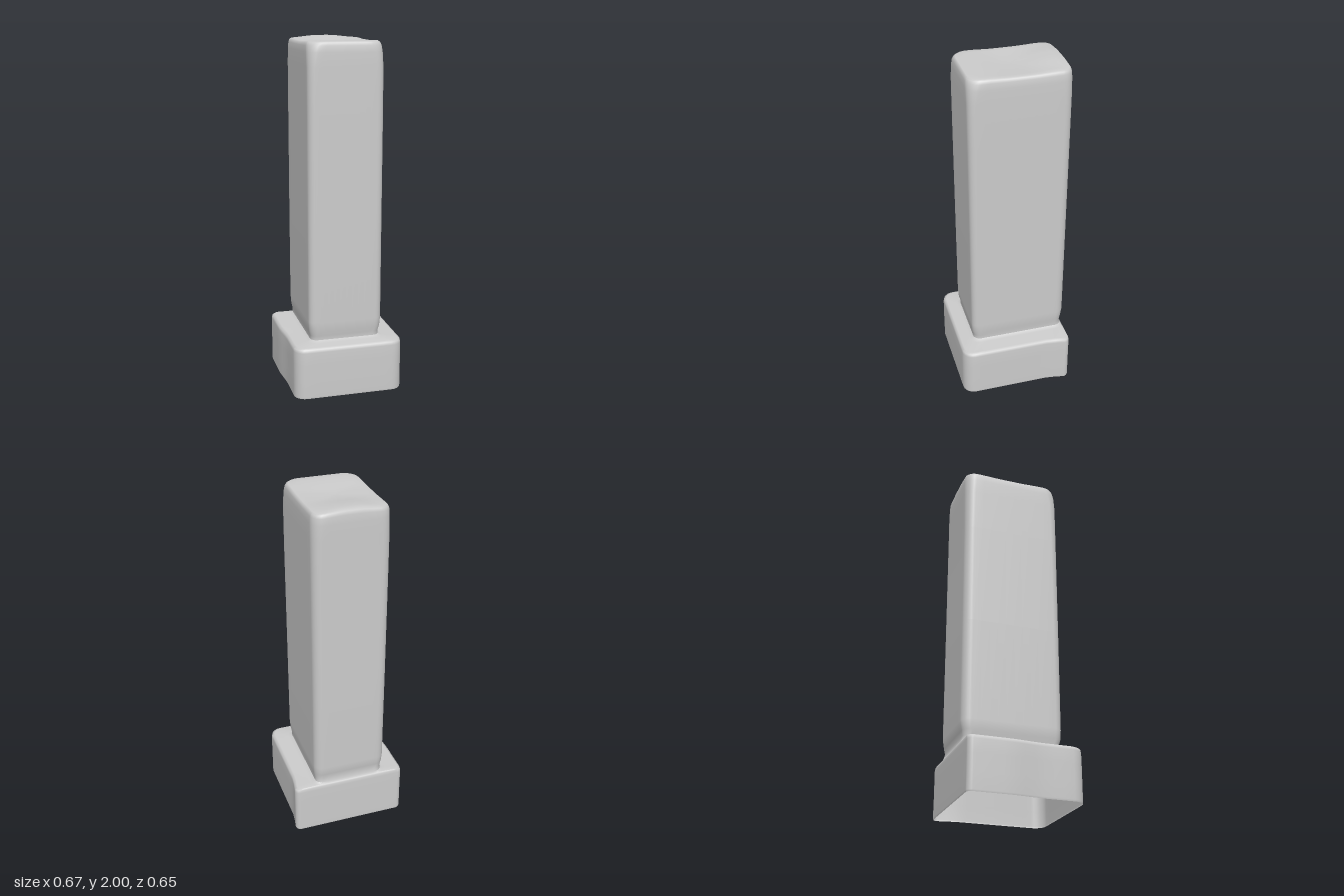
import * as THREE from 'three';

const ARC = 6, SIDE = 10;

// Rounded rectangle in plan; front corners use rf, back corners rb
function outline(x0, x1, z0, z1, rf, rb) {
  const corners = [
    [x1 - rf, z1 - rf, rf], [x0 + rf, z1 - rf, rf],
    [x0 + rb, z0 + rb, rb], [x1 - rb, z0 + rb, rb],
  ];
  const at = (k, t) => {
    const [cx, cz, r] = corners[k % 4], a = (k + t) * Math.PI / 2;
    return [cx + r * Math.cos(a), cz + r * Math.sin(a)];
  };
  const pts = [];
  for (let k = 0; k < 4; k++) {
    for (let i = 0; i <= ARC; i++) pts.push(at(k, i / ARC));
    const a = at(k, 1), b = at(k + 1, 0);
    for (let i = 1; i < SIDE; i++) {
      const t = i / SIDE;
      pts.push([a[0] + (b[0] - a[0]) * t, a[1] + (b[1] - a[1]) * t]);
    }
  }
  return pts;
}

// Skin between stacked outlines; rule(v) adjusts each vertex
function loft(name, rings, material, rule) {
  const pos = [], index = [], v = new THREE.Vector3();
  let n = 0;
  rings.forEach(([y, ...plan]) => {
    const pts = outline(...plan);
    n = pts.length;
    pts.forEach(([x, z]) => {
      v.set(x, y, z);
      rule(v);
      pos.push(v.x, v.y, v.z);
    });
  });
  for (let r = 0; r < rings.length - 1; r++) {
    for (let i = 0; i < n; i++) {
      const j = (i + 1) % n, a = r * n + i, c = r * n + j;
      index.push(a, a + n, c, c, a + n, c + n);
    }
  }
  const g = new THREE.BufferGeometry();
  g.setAttribute('position', new THREE.Float32BufferAttribute(pos, 3));
  g.setIndex(index);
  g.computeVertexNormals();
  const mesh = new THREE.Mesh(g, material);
  mesh.name = name;
  return mesh;
}

export function createModel() {
  const group = new THREE.Group();
  group.name = 'pillar';
  const material = new THREE.MeshStandardMaterial({ color: 0xcccccc, side: THREE.DoubleSide });
  const smooth = THREE.MathUtils.smoothstep;

  // Hollow plinth, open underneath, with a shoulder leading in to the shaft
  const foot = [0.312, -0.205, 0.2, -0.312, 0.235, 0.04, 0.04];
  group.add(loft('plinth', [
    [0, -0.316, 0.314, -0.323, 0.325, 0.065, 0.03],
    [0.01, -0.318, 0.316, -0.325, 0.327, 0.068, 0.03],
    [0.1, -0.318, 0.316, -0.324, 0.327, 0.068, 0.03],
    [0.2, -0.318, 0.316, -0.324, 0.327, 0.068, 0.03],
    [0.275, -0.318, 0.316, -0.324, 0.326, 0.068, 0.03],
    [0.292, -0.314, 0.312, -0.322, 0.322, 0.065, 0.03],
    [0.3, -0.3, 0.298, -0.318, 0.31, 0.06, 0.03],
    [0.301, -0.225, 0.22, -0.315, 0.255, 0.05, 0.04],
    foot,
  ], material, (v) => {
    // the back corners flare slightly
    if (v.x < -0.25) v.x -= 0.015 * (1 - smooth(v.z, -0.1, 0.1));
    if (v.x > 0.25) v.x += 0.017 * (1 - smooth(v.z, -0.29, -0.2));
  }));

  // Shaft, with a pinched foot, softened rim and gently uneven top
  const rim = [1.987, -0.197, 0.194, -0.31, 0.228, 0.075, 0.05];
  const rings = [
    foot,
    [0.335, -0.205, 0.2, -0.306, 0.235, 0.04, 0.04],
    [0.365, -0.213, 0.206, -0.312, 0.243, 0.04, 0.045],
    [0.42, -0.217, 0.21, -0.321, 0.246, 0.04, 0.05],
    [1.0, -0.217, 0.211, -0.322, 0.246, 0.04, 0.05],
    [1.6, -0.216, 0.213, -0.323, 0.246, 0.042, 0.05],
    [1.85, -0.216, 0.213, -0.325, 0.246, 0.045, 0.055],
    [1.93, -0.215, 0.212, -0.325, 0.245, 0.06, 0.06],
    [1.965, -0.212, 0.209, -0.323, 0.242, 0.07, 0.06],
    [1.98, -0.206, 0.203, -0.318, 0.236, 0.075, 0.055],
    rim,
  ];
  // Concentric rings close the top
  for (const s of [0.85, 0.65, 0.42, 0.2, 0.001]) {
    const [y, x0, x1, z0, z1, rf, rb] = rim;
    const zc = (z0 + z1) / 2;
    rings.push([y, x0 * s, x1 * s, zc + (z0 - zc) * s, zc + (z1 - zc) * s, rf * s, rb * s]);
  }
  group.add(loft('shaft', rings, material, (v) => {
    if (v.y < 1.94) return;
    const k = (v.y - 1.94) / 0.047;
    const mid = 1 - smooth(Math.abs(v.x), 0.03, 0.2);
    v.y += k * (0.013 * mid * smooth(-v.z, 0.05, 0.3)
      - 0.012 * smooth(-v.z, -0.15, 0) * (1 - smooth(-v.z, 0.1, 0.25)) * (0.5 + 0.5 * Math.cos(9 * v.x)));
  }));

  return group;
}
